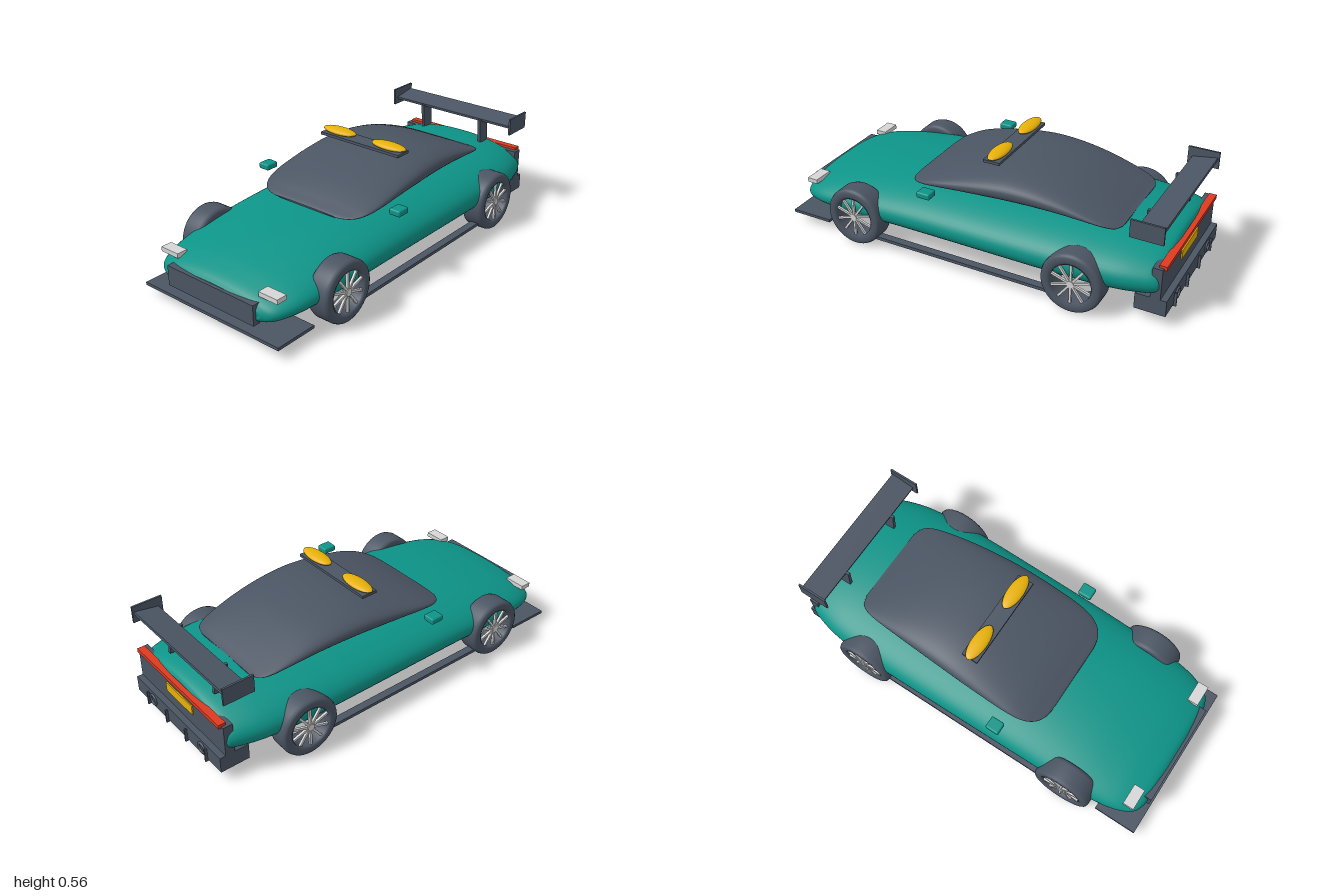
import * as THREE from 'three';
import { RoundedBoxGeometry } from 'three/addons/geometries/RoundedBoxGeometry.js';

const mat = (name, color) => Object.assign(new THREE.MeshStandardMaterial({ color }), { name });

// Smooth hull through stations [z, halfWidth, bottom, top], ordered front to back.
function loft(stations, power, steps = 64, sides = 64) {
  const curveA = new THREE.CatmullRomCurve3(stations.map(s => new THREE.Vector3(s[0], s[1], s[2])), false, 'catmullrom', 0.5);
  const curveB = new THREE.CatmullRomCurve3(stations.map(s => new THREE.Vector3(s[3], 0, 0)), false, 'catmullrom', 0.5);
  const pos = [], idx = [];
  const bend = v => Math.sign(v) * Math.pow(Math.abs(v), 2 / power);
  const ring = t => {
    const { x: z, y: w, z: low } = curveA.getPoint(t), top = curveB.getPoint(t).x;
    for (let j = 0; j < sides; j++) {
      const a = (j / sides) * Math.PI * 2;
      pos.push(w * bend(Math.cos(a)), (top + low) / 2 + ((top - low) / 2) * bend(Math.sin(a)), z);
    }
    return [z, (top + low) / 2];
  };
  for (let i = 0; i <= steps; i++) ring(i / steps);
  for (let i = 0; i < steps; i++) {
    for (let j = 0; j < sides; j++) {
      const k = (j + 1) % sides, a = i * sides + j, b = i * sides + k;
      idx.push(a, a + sides, b, b, a + sides, b + sides);
    }
  }
  // flat end caps with their own vertices
  for (const t of [0, 1]) {
    const start = pos.length / 3, [z, y] = ring(t), c = start + sides;
    pos.push(0, y, z);
    for (let j = 0; j < sides; j++) {
      const a = start + j, b = start + (j + 1) % sides;
      if (t === 0) idx.push(c, a, b); else idx.push(c, b, a);
    }
  }
  const g = new THREE.BufferGeometry();
  g.setAttribute('position', new THREE.Float32BufferAttribute(pos, 3));
  g.setIndex(idx);
  g.computeVertexNormals();
  return g;
}

export function createModel() {
  const car = new THREE.Group();
  car.name = 'sportsCar';
  const teal = mat('tealPaint', 0x0d9488);
  const dark = mat('darkGrey', 0x4b5563);
  const silver = mat('silver', 0xd6d6d6);
  const yellow = mat('yellow', 0xeab308);
  const red = mat('red', 0xdc3a20);

  const add = (name, geo, material, x = 0, y = 0, z = 0, parent = car) => {
    const m = new THREE.Mesh(geo, material);
    m.name = name;
    m.position.set(x, y, z);
    parent.add(m);
    return m;
  };
  // box from its min and max along each axis
  const box = (name, material, x0, x1, y0, y1, z0, z1) =>
    add(name, new THREE.BoxGeometry(x1 - x0, y1 - y0, z1 - z0), material, (x0 + x1) / 2, (y0 + y1) / 2, (z0 + z1) / 2);

  // Body hull and canopy
  add('body', loft([
    [0.972, 0.29, 0.09, 0.2], [0.95, 0.34, 0.078, 0.222], [0.9, 0.375, 0.07, 0.243],
    [0.8, 0.405, 0.065, 0.272], [0.6, 0.425, 0.06, 0.31], [0.35, 0.432, 0.06, 0.336],
    [0.1, 0.436, 0.06, 0.347], [-0.15, 0.439, 0.06, 0.353], [-0.4, 0.441, 0.06, 0.358],
    [-0.6, 0.438, 0.061, 0.358], [-0.77, 0.422, 0.066, 0.352], [-0.88, 0.395, 0.075, 0.339],
    [-0.93, 0.375, 0.085, 0.325], [-0.948, 0.36, 0.095, 0.305],
  ], 2.1), teal);

  add('canopy', loft([
    [0.372, 0.19, 0.334, 0.342], [0.36, 0.245, 0.334, 0.35], [0.33, 0.287, 0.334, 0.365],
    [0.28, 0.315, 0.335, 0.39], [0.2, 0.328, 0.335, 0.422], [0.08, 0.33, 0.335, 0.458],
    [-0.05, 0.328, 0.335, 0.487], [-0.17, 0.323, 0.337, 0.5], [-0.3, 0.315, 0.34, 0.492],
    [-0.43, 0.305, 0.343, 0.466], [-0.55, 0.293, 0.345, 0.425], [-0.64, 0.277, 0.347, 0.387],
    [-0.69, 0.25, 0.348, 0.363], [-0.71, 0.2, 0.349, 0.355],
  ], 2.3), dark);

  // Nose parts
  box('grille', dark, -0.265, 0.265, 0.097, 0.197, 0.95, 0.988);
  box('frontSplitter', dark, -0.415, 0.415, 0.047, 0.062, 0.78, 1.0);

  // Tail parts
  box('rearPanel', dark, -0.36, 0.36, 0.13, 0.29, -0.958, -0.91);
  box('tailLightStrip', red, -0.345, 0.345, 0.282, 0.302, -0.972, -0.935);
  box('rearPlate', yellow, -0.11, 0.11, 0.198, 0.248, -0.964, -0.957);
  box('diffuser', dark, -0.36, 0.36, 0.055, 0.135, -0.988, -0.84);
  for (const x of [-0.25, -0.083, 0.083, 0.25]) box('diffuserFin', dark, x - 0.004, x + 0.004, 0.045, 0.115, -1.0, -0.87);

  // Rear wing
  const wing = box('wingBlade', dark, -0.372, 0.372, 0.461, 0.474, -0.95, -0.825);
  wing.rotation.x = 0.16;

  // Roof light bar
  box('lightBarBase', dark, -0.24, 0.24, 0.516, 0.53, -0.103, -0.018);

  // Mirrored side parts
  for (const s of [-1, 1]) {
    const side = s > 0 ? 'left' : 'right';
    const lamp = add(side + 'RoofLamp', new THREE.SphereGeometry(1, 32, 16), yellow, s * 0.153, 0.543, -0.062);
    lamp.scale.set(0.1, 0.017, 0.04);
    add(side + 'Mirror', new RoundedBoxGeometry(0.062, 0.031, 0.07, 3, 0.008), teal, s * 0.409, 0.375, 0.193);
    box(side + 'Headlight', silver, s * 0.305 - 0.054, s * 0.305 + 0.054, 0.215, 0.238, 0.882, 0.938);
    box(side + 'SideSkirt', dark, s * 0.41 - 0.02, s * 0.41 + 0.02, 0.046, 0.062, -0.5, 0.5);
    box(side + 'WingEndPlate', dark, s * 0.376 - 0.005, s * 0.376 + 0.005, 0.425, 0.512, -0.957, -0.802);
    const strut = box(side + 'WingStrut', dark, s * 0.185 - 0.008, s * 0.185 + 0.008, 0.33, 0.462, -0.885, -0.815);
    strut.rotation.x = 0.08;
    add(side + 'Exhaust', new THREE.TorusGeometry(0.024, 0.007, 10, 28), dark, s * 0.21, 0.092, -0.989);
  }

  // Wheels: open rounded tyre with spokes at the outer face (local +y points outward)
  const tyreGeo = new THREE.LatheGeometry([
    [0.1, -0.052], [0.115, -0.058], [0.135, -0.058], [0.145, -0.052], [0.15, -0.038], [0.15, 0.038],
    [0.145, 0.052], [0.135, 0.058], [0.115, 0.058], [0.1, 0.052], [0.1, -0.052],
  ].map(p => new THREE.Vector2(...p)), 56);
  const hubGeo = new THREE.CylinderGeometry(0.018, 0.018, 0.024, 20);
  const spokeGeo = new THREE.BoxGeometry(0.09, 0.012, 0.011);
  for (const s of [-1, 1]) {
    for (const [end, z, x] of [['front', 0.595, 0.398], ['rear', -0.575, 0.406]]) {
      const wheel = new THREE.Group();
      wheel.name = end + (s > 0 ? 'Left' : 'Right') + 'Wheel';
      wheel.position.set(s * x, 0.15, z);
      wheel.rotation.z = -s * Math.PI / 2;
      car.add(wheel);
      add('tyre', tyreGeo, dark, 0, 0, 0, wheel);
      add('hub', hubGeo, silver, 0, 0.044, 0, wheel);
      for (let i = 0; i < 10; i++) {
        const a = (i / 10) * Math.PI * 2;
        const spoke = add('spoke', spokeGeo, silver, Math.cos(a) * 0.056, 0.046, -Math.sin(a) * 0.056, wheel);
        spoke.rotation.y = a;
      }
    }
  }
  return car;
}
